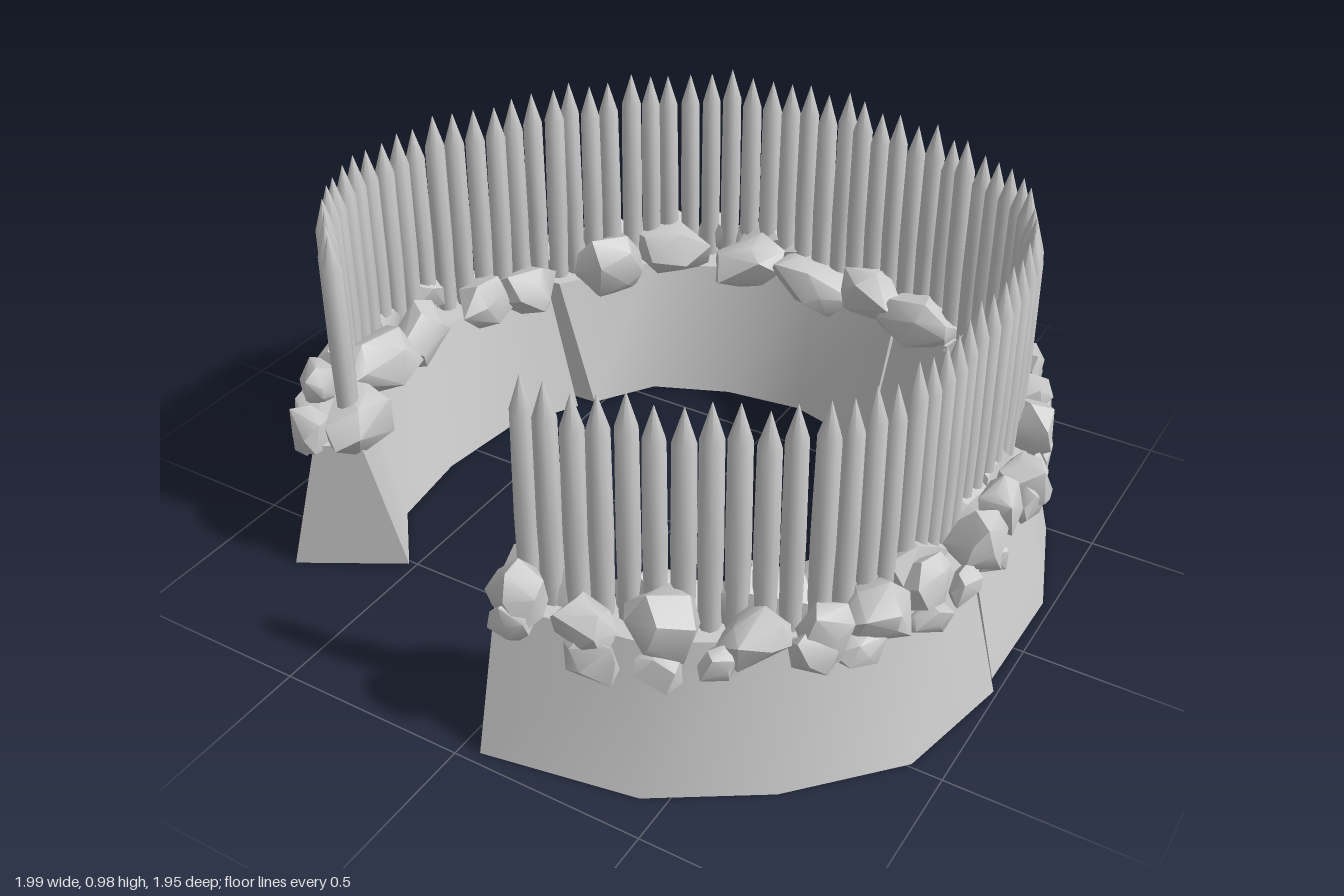
import * as THREE from 'three';
import { ConvexGeometry } from 'three/addons/geometries/ConvexGeometry.js';
import { mergeVertices, mergeGeometries, toCreasedNormals } from 'three/addons/utils/BufferGeometryUtils.js';

const WALL_TOP = 0.38;
const TOP_INSET = 0.3; // how far the top edges lean toward each other

// Four earthwork sections: base outlines as [x, z], running from the front-right end round the back
const SECTIONS = [
  {
    outer: [[-0.78, 0.66], [-0.96, 0.4], [-1, 0.07], [-0.96, -0.17], [-0.88, -0.38]],
    inner: [[-0.52, 0.51], [-0.66, 0.34], [-0.69, 0.1], [-0.66, -0.16], [-0.55, -0.34]],
  },
  {
    outer: [[-0.88, -0.37], [-0.6, -0.8], [-0.3, -0.94], [0, -0.975], [0.36, -0.87]],
    inner: [[-0.52, -0.385], [-0.41, -0.55], [-0.2, -0.64], [0.02, -0.67], [0.28, -0.6]],
  },
  {
    outer: [[0.39, -0.9], [0.68, -0.76], [0.87, -0.5], [0.975, -0.2], [0.97, 0.13]],
    inner: [[0.27, -0.61], [0.46, -0.57], [0.6, -0.36], [0.69, -0.16], [0.66, 0.12]],
  },
  {
    outer: [[0.99, 0.17], [0.92, 0.49], [0.7, 0.73], [0.44, 0.9], [0.05, 0.97]],
    inner: [[0.68, 0.2], [0.62, 0.4], [0.47, 0.55], [0.3, 0.62], [0.05, 0.66]],
  },
];

// Line of the palisade posts as [x, z]
const POST_LINE = [
  [-0.65, 0.53], [-0.8, 0.36], [-0.87, 0.13], [-0.855, -0.05], [-0.8, -0.17], [-0.715, -0.33],
  [-0.61, -0.52], [-0.475, -0.69], [-0.345, -0.785], [-0.18, -0.82], [0.05, -0.81], [0.3, -0.765],
  [0.51, -0.685], [0.68, -0.56], [0.775, -0.39], [0.81, -0.19], [0.81, 0.05], [0.8, 0.29],
  [0.735, 0.5], [0.59, 0.64], [0.37, 0.74], [0.095, 0.805],
];

function seeded(seed) {
  return () => {
    seed = (seed * 1664525 + 1013904223) % 4294967296;
    return seed / 4294967296;
  };
}

// Smooth strip of quads between two rows of points
function strip(rowA, rowB) {
  const n = rowA.length;
  const geo = new THREE.BufferGeometry().setFromPoints([...rowA, ...rowB]);
  const index = [];
  for (let i = 0; i < n - 1; i++) index.push(i, n + i, i + 1, i + 1, n + i, n + i + 1);
  geo.setIndex(index);
  geo.computeVertexNormals();
  return geo;
}

// Hollow trapezoid bank, open underneath, with closed ends
function wallSection({ outer, inner }) {
  const at = (pts, y) => pts.map(([x, z]) => new THREE.Vector3(x, y, z));
  const ob = at(outer, 0);
  const ib = at(inner, 0);
  const ot = at(outer, WALL_TOP).map((p, i) => p.lerp(ib[i].clone().setY(WALL_TOP), TOP_INSET));
  const it = at(inner, WALL_TOP).map((p, i) => p.lerp(ob[i].clone().setY(WALL_TOP), TOP_INSET));
  const e = ob.length - 1;
  return mergeGeometries([
    strip(ob, ot), strip(ot, it), strip(it, ib),
    strip([ob[0], ot[0]], [ib[0], it[0]]),
    strip([ib[e], it[e]], [ob[e], ot[e]]),
  ]);
}

// Chipped boulder: hull of scattered points on a box-like ellipsoid
function rockGeometry(rand, length, height, depth) {
  const pts = [];
  const count = 15;
  for (let i = 0; i < count; i++) {
    const v = 1 - (2 * (i + 0.5)) / count;
    const a = i * 2.4 + rand() * 0.9;
    const r = Math.sqrt(1 - v * v);
    const p = new THREE.Vector3(r * Math.cos(a), v, r * Math.sin(a));
    const big = Math.max(Math.abs(p.x), Math.abs(p.y), Math.abs(p.z));
    p.multiplyScalar((0.88 + rand() * 0.22) / Math.pow(big, 0.45));
    pts.push(p.multiply(new THREE.Vector3(length / 2, height / 2, depth / 2)));
  }
  return toCreasedNormals(mergeVertices(new ConvexGeometry(pts)), 0.75);
}

export function createModel() {
  const root = new THREE.Group();
  root.name = 'palisadeFort';
  const rand = seeded(17);
  const vary = (amount) => (rand() - 0.5) * 2 * amount;
  const material = new THREE.MeshStandardMaterial({ color: 0xcccccc });
  const shellMaterial = new THREE.MeshStandardMaterial({ color: 0xcccccc, side: THREE.DoubleSide });

  // Earthwork ring
  const wall = new THREE.Group();
  wall.name = 'earthWall';
  SECTIONS.forEach((s, i) => {
    const mesh = new THREE.Mesh(wallSection(s), shellMaterial);
    mesh.name = `wallSection${i + 1}`;
    wall.add(mesh);
  });
  root.add(wall);

  // Sharpened posts
  const palisade = new THREE.Group();
  palisade.name = 'palisade';
  const profile = [[0.025, 0.3], [0.029, 0.6], [0.027, 0.88], [0.0005, 0.97]].map(([r, y]) => new THREE.Vector2(r, y));
  const postGeo = toCreasedNormals(new THREE.LatheGeometry(profile, 8), 0.9);
  const postCurve = new THREE.CatmullRomCurve3(POST_LINE.map(([x, z]) => new THREE.Vector3(x, 0, z)));
  const postCount = Math.round(postCurve.getLength() / 0.06);
  for (let i = 0; i <= postCount; i++) {
    const post = new THREE.Mesh(postGeo, material);
    post.name = 'post';
    post.position.copy(postCurve.getPointAt(i / postCount));
    post.rotation.set(vary(0.006), rand() * 6, vary(0.006));
    post.scale.y = 0.993 + vary(0.015);
    palisade.add(post);
  }
  root.add(palisade);

  // Boulders heaped along the wall top, both sides of the posts
  const rocks = new THREE.Group();
  rocks.name = 'boulders';
  const mids = SECTIONS.flatMap(({ outer, inner }, s) => outer
    .map(([x, z], i) => new THREE.Vector3((x + inner[i][0]) / 2, 0, (z + inner[i][1]) / 2))
    .slice(0, s < 3 ? 4 : 5));
  const rockCurve = new THREE.CatmullRomCurve3(mids);
  const addRow = (name, count, offset, y, size, jitter) => {
    for (let i = 0; i < count; i++) {
      const t = THREE.MathUtils.clamp((i + 0.5 + vary(0.2)) / count, 0.012, 0.988);
      const p = rockCurve.getPointAt(t);
      const tan = rockCurve.getTangentAt(t);
      const out = new THREE.Vector3(p.x, 0, p.z).normalize();
      const k = 1 + vary(0.22);
      const rock = new THREE.Mesh(rockGeometry(rand, size[0] * k, size[1] * (1 + vary(0.15)), size[2] * k), material);
      rock.name = name;
      rock.position.copy(p).addScaledVector(out, offset + vary(0.012));
      rock.position.y = y + vary(jitter);
      rock.rotation.set(vary(0.3), Math.atan2(-tan.z, tan.x) + vary(0.3), vary(0.35));
      rocks.add(rock);
    }
  };
  addRow('innerBoulder', 20, -0.06, 0.405, [0.25, 0.165, 0.14], 0.02);
  addRow('outerBoulder', 30, 0.055, 0.415, [0.16, 0.14, 0.13], 0.025);
  addRow('outerPebble', 32, 0.085, 0.355, [0.12, 0.1, 0.08], 0.025);
  root.add(rocks);

  return root;
}
